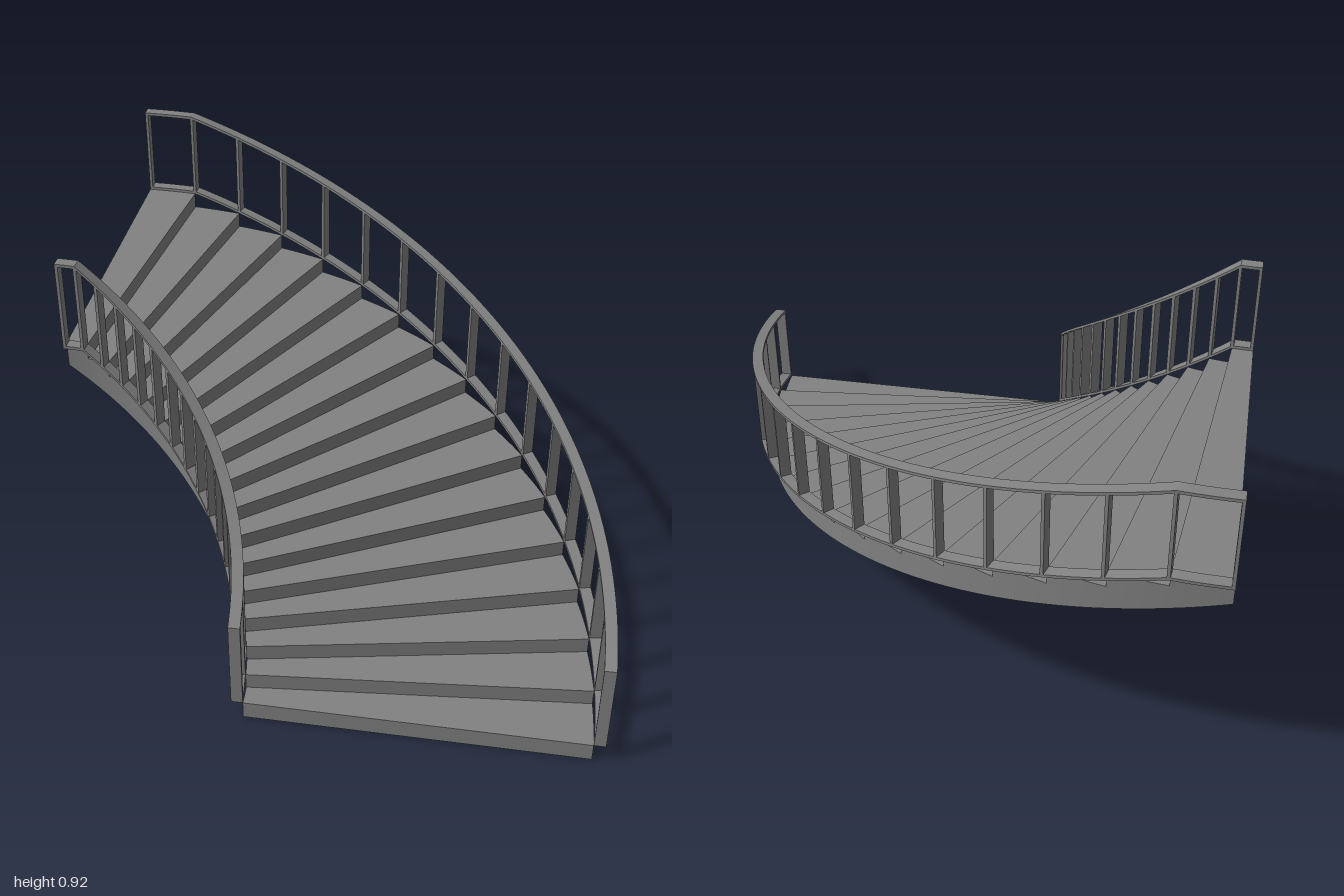
import * as THREE from 'three';
import { toCreasedNormals } from 'three/addons/utils/BufferGeometryUtils.js';

const STEPS = 16, SUB = 6;
const FIRST = 0.047, RISE = 0.042;  // height of the first tread, then of each riser
const CENTRE_Z = 0.89;              // axis of the curve
const R_IN = 0.545, R_OUT = 1.385;  // flight of steps
const RAIL_W = 0.029, RAIL_T = 0.008, RAIL_H = 0.242, POST_T = 0.008;

// s counts steps along the flight, from the low end (+x) to the high end (-x)
const angle = (s) => Math.PI / 4 - (s / STEPS) * (Math.PI / 2);
const point = (s, r, y) =>
  new THREE.Vector3(r * Math.sin(angle(s)), y, CENTRE_Z - r * Math.cos(angle(s)));
const treadHeight = (i) => FIRST + i * RISE;

// Closed solid through stations { s, bottom, top } between two radii
function sweep(stations, r0, r1) {
  const pos = [];
  const tri = (a, b, c) => {
    const area = b.clone().sub(a).cross(c.clone().sub(a)).length();
    if (area > 1e-9) for (const p of [a, b, c]) pos.push(p.x, p.y, p.z);
  };
  const quad = (a, b, c, d) => { tri(a, b, c); tri(a, c, d); };
  const rings = stations.map(({ s, bottom, top }) => [
    point(s, r0, bottom), point(s, r1, bottom), point(s, r1, top), point(s, r0, top),
  ]);
  for (let i = 0; i < rings.length - 1; i++) {
    const A = rings[i], B = rings[i + 1];
    for (let k = 0; k < 4; k++) {
      const n = (k + 1) % 4;
      quad(A[k], B[k], B[n], A[n]);
    }
  }
  quad(...rings[0]);
  quad(...rings[rings.length - 1].slice().reverse());
  const geo = new THREE.BufferGeometry();
  geo.setAttribute('position', new THREE.Float32BufferAttribute(pos, 3));
  return toCreasedNormals(geo, 0.35);
}

export function createModel() {
  const model = new THREE.Group();
  model.name = 'curvedStaircase';
  const material = new THREE.MeshStandardMaterial({ color: 0x828282 });
  const add = (parent, geo, name) => {
    const mesh = new THREE.Mesh(geo, material);
    mesh.name = name;
    parent.add(mesh);
    return mesh;
  };

  // Steps: flat treads and risers above, a smooth sloping soffit below
  const soffit = (s) => Math.max(0, s - 1) * (0.61 / (STEPS - 1));
  const flight = [];
  for (let i = 0; i < STEPS; i++) {
    for (let j = 0; j <= SUB; j++) {
      const s = i + j / SUB;
      flight.push({ s, bottom: soffit(s), top: treadHeight(i) });
    }
  }
  add(model, sweep(flight, R_IN, R_OUT), 'steps');

  // Railings follow the step edges and level out over the top step
  const railBase = (s) => treadHeight(Math.min(s, STEPS - 1));
  const railStations = (lift) => Array.from({ length: STEPS * SUB + 1 }, (_, k) => {
    const s = k / SUB, bottom = railBase(s) + lift;
    return { s, bottom, top: bottom + RAIL_T };
  });

  for (const [name, r0] of [['innerRailing', R_IN - RAIL_W], ['outerRailing', R_OUT]]) {
    const railing = new THREE.Group();
    railing.name = name;
    model.add(railing);
    add(railing, sweep(railStations(0), r0, r0 + RAIL_W), 'bottomRail');
    add(railing, sweep(railStations(RAIL_H - RAIL_T), r0, r0 + RAIL_W), 'handrail');

    // One flat post at every step edge; end posts sit just inside the ends
    const r = r0 + RAIL_W / 2;
    const inset = (POST_T / 2 / r) * (STEPS / (Math.PI / 2));
    for (let i = 0; i <= STEPS; i++) {
      const s = THREE.MathUtils.clamp(i, inset, STEPS - inset);
      const height = RAIL_H - RAIL_T;
      const post = add(railing, new THREE.BoxGeometry(RAIL_W, height, POST_T), 'post');
      post.position.copy(point(s, r, railBase(s) + RAIL_H / 2));
      post.rotation.y = Math.PI / 2 - angle(s);
    }
  }
  return model;
}
